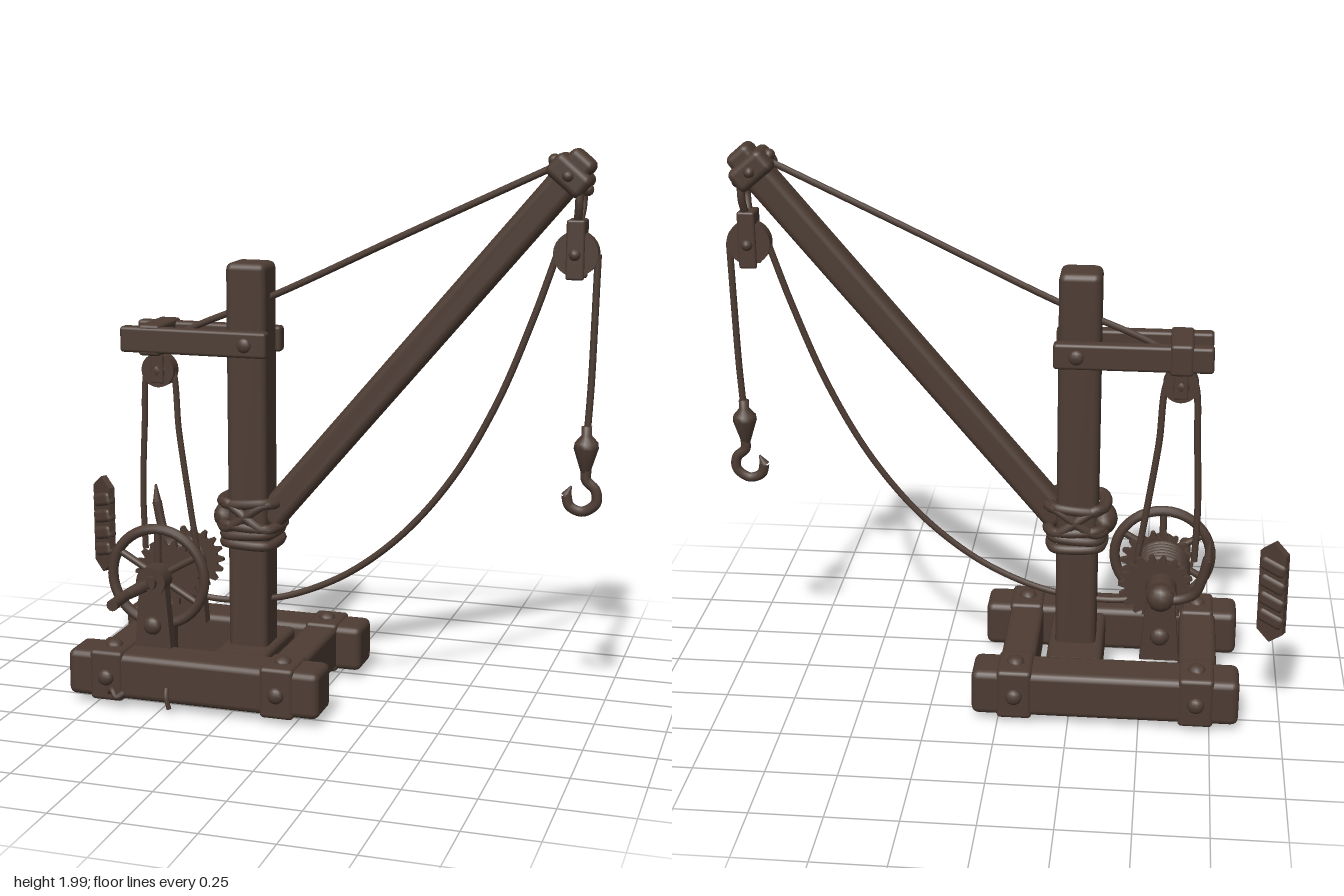
import * as THREE from 'three';
import { RoundedBoxGeometry } from 'three/addons/geometries/RoundedBoxGeometry.js';

const V = (x, y, z) => new THREE.Vector3(x, y, z);

export function createModel() {
  const root = new THREE.Group();
  root.name = 'woodenCrane';
  const wood = new THREE.MeshStandardMaterial({ color: 0x4d3c33 });
  wood.name = 'darkBrownWood';

  function add(name, geo, x = 0, y = 0, z = 0, parent = root) {
    const m = new THREE.Mesh(geo, wood);
    m.name = name;
    m.position.set(x, y, z);
    parent.add(m);
    return m;
  }
  // beam given by its minimum and maximum corners
  function beam(name, x0, x1, y0, y1, z0, z1, r = 0.02) {
    return add(name, new RoundedBoxGeometry(x1 - x0, y1 - y0, z1 - z0, 2, r),
      (x0 + x1) / 2, (y0 + y1) / 2, (z0 + z1) / 2);
  }
  function rod(name, a, b, r, r2 = r, sides = 12) {
    const m = add(name, new THREE.CylinderGeometry(r2, r, a.distanceTo(b), sides));
    m.position.copy(a).add(b).multiplyScalar(0.5);
    m.quaternion.setFromUnitVectors(V(0, 1, 0), b.clone().sub(a).normalize());
    return m;
  }
  function rope(name, pts, r = 0.011, closed = false) {
    const curve = new THREE.CatmullRomCurve3(pts.map(p => V(...p)), closed);
    return add(name, new THREE.TubeGeometry(curve, pts.length * 8, r, 8, closed));
  }
  function bolt(name, x, y, z, r = 0.03, sx = 1, sy = 1, sz = 1) {
    add(name, new THREE.SphereGeometry(r, 12, 8), x, y, z).scale.set(sx, sy, sz);
  }
  // disc whose axis runs along z
  function disc(name, x, y, z, r, depth, sides = 24) {
    return add(name, new THREE.CylinderGeometry(r, r, depth, sides).rotateX(Math.PI / 2), x, y, z);
  }

  // Base: two rails, two cross beams and the block under the post
  for (const s of [1, -1]) {
    const zc = s > 0 ? 0.258 : -0.272;
    beam('baseRail', -0.85, 0.092, 0.03, 0.198, zc - 0.08, zc + 0.08, 0.025);
    for (const x of [-0.7, -0.06]) {
      beam('railBand', x - 0.062, x + 0.062, 0.022, 0.207, zc - 0.085, zc + 0.085, 0.015);
      bolt('topBolt', x, 0.205, zc, 0.032, 1, 0.7, 1);
      bolt('bottomBolt', x, 0.022, zc, 0.032, 1, 0.65, 1);
      bolt('sideBolt', x, 0.11, zc + s * 0.085, 0.03, 1, 1, 0.7);
    }
  }
  beam('rearCrossBeam', -0.77, -0.635, 0.035, 0.195, -0.34, 0.33);
  beam('frontCrossBeam', -0.125, 0, 0.035, 0.195, -0.34, 0.33);
  beam('postFootBlock', -0.36, -0.16, 0.045, 0.185, -0.2, 0.19);

  // Post and the arm clamped to it
  beam('post', -0.332, -0.185, 0.1, 1.58, -0.073, 0.073, 0.025);
  for (const s of [1, -1]) {
    const z = s * 0.083;
    beam('armBeam', -0.72, -0.17, 1.25, 1.343, z - 0.025, z + 0.025, 0.012);
    bolt('armBolt', -0.25, 1.296, s * 0.107, 0.027, 1, 1, 0.6);
  }
  beam('armCrossPiece', -0.65, -0.57, 1.24, 1.352, -0.113, 0.105, 0.012);

  // Pulley under the arm
  disc('armPulley', -0.61, 1.175, 0, 0.062, 0.05);
  for (const z of [0.03, -0.03]) beam('pulleyCheek', -0.635, -0.585, 1.13, 1.26, z - 0.006, z + 0.006, 0.005);
  bolt('pulleyPin', -0.61, 1.175, 0, 0.04);

  // Boom with its capped head
  const boom = new THREE.Group();
  boom.name = 'boom';
  const a = V(-0.2, 0.645, 0), b = V(0.89, 1.935, 0);
  boom.position.copy(a).add(b).multiplyScalar(0.5);
  boom.rotation.z = Math.atan2(b.y - a.y, b.x - a.x);
  const len = a.distanceTo(b);
  root.add(boom);
  add('boomBeam', new RoundedBoxGeometry(len, 0.108, 0.098, 3, 0.028), 0, 0, 0, boom);
  add('boomHeadCap', new RoundedBoxGeometry(0.09, 0.15, 0.135, 2, 0.025), len / 2 - 0.04, 0, 0, boom);
  add('boomHeadTip', new RoundedBoxGeometry(0.07, 0.1, 0.1, 2, 0.025), len / 2 + 0.01, 0, 0, boom);
  for (const s of [1, -1]) {
    add('capBolt', new THREE.SphereGeometry(0.022, 10, 8), len / 2 - 0.04, s * 0.073, 0, boom);
    add('capSideBolt', new THREE.SphereGeometry(0.02, 10, 8), len / 2 - 0.04, 0, s * 0.063, boom);
  }

  // Lashing that ties the boom to the post
  const loop = (y, tilt, grow) => rope('lashingLoop', [
    [-0.345 - grow, y + tilt, 0.06], [-0.32, y + tilt, 0.09], [-0.19, y - tilt, 0.09], [-0.168 + grow, y - tilt, 0.06],
    [-0.168 + grow, y - tilt, -0.06], [-0.19, y - tilt, -0.09], [-0.32, y + tilt, -0.09], [-0.345 - grow, y + tilt, -0.06],
  ], 0.018, true);
  loop(0.57, 0.002, 0);
  loop(0.605, -0.004, 0);
  loop(0.635, 0.004, 0.005);
  loop(0.675, 0.045, 0.01);
  loop(0.675, -0.045, 0.01);
  loop(0.72, -0.005, 0);
  bolt('lashingKnot', -0.352, 0.655, 0, 0.05, 1, 1.1, 1.5);

  // Stay rope from the boom head to the arm
  rope('stayRope', [[0.86, 1.955, 0], [0.3, 1.69, 0], [-0.18, 1.46, 0], [-0.48, 1.335, 0], [-0.6, 1.27, 0]], 0.012);

  // Hanging block, fall rope, weight and hook
  rope('blockLink', [[0.9, 1.9, 0.035], [0.9, 1.8, 0.04], [0.89, 1.73, 0], [0.9, 1.8, -0.04], [0.9, 1.9, -0.035]], 0.014);
  disc('hangingPulley', 0.89, 1.645, 0, 0.076, 0.045);
  for (const z of [0.035, -0.035]) {
    beam('blockCheek', 0.86, 0.922, 1.56, 1.76, z - 0.009, z + 0.009, 0.008);
    bolt('blockPin', 0.89, 1.645, z * 1.25, 0.02);
  }
  beam('blockTop', 0.86, 0.922, 1.71, 1.76, -0.04, 0.04, 0.01);
  rope('fallRope', [[0.962, 1.645, 0], [0.957, 1.4, 0], [0.952, 1.2, 0], [0.944, 1.04, 0]], 0.012);
  add('hookWeight', new THREE.LatheGeometry([[0, 0.89], [0.016, 0.9], [0.043, 0.985], [0.04, 1.005], [0.018, 1.03], [0.018, 1.06], [0, 1.065]]
    .map(p => new THREE.Vector2(...p)), 10), 0.942, 0, 0);
  rope('hook', [[0.944, 0.91, 0], [0.945, 0.875, 0], [0.978, 0.84, 0], [0.98, 0.795, 0], [0.935, 0.763, 0],
    [0.89, 0.78, 0], [0.878, 0.82, 0]], 0.018);
  rod('hookPoint', V(0.878, 0.815, 0), V(0.895, 0.85, 0), 0.018, 0.003);

  // Slack rope from the hanging block down to the drum
  rope('slackRope', [[0.825, 1.64, 0], [0.75, 1.42, 0], [0.63, 1.12, 0], [0.48, 0.85, 0], [0.3, 0.63, 0],
    [0.1, 0.47, 0], [-0.1, 0.375, 0], [-0.25, 0.34, 0], [-0.4, 0.33, 0], [-0.54, 0.35, 0]], 0.012);
  // Ropes between the arm pulley and the drum
  rope('rearHoistRope', [[-0.61, 1.235, 0], [-0.655, 1.19, 0], [-0.675, 0.95, 0], [-0.685, 0.7, 0], [-0.68, 0.5, 0]], 0.012);
  rope('frontHoistRope', [[-0.61, 1.235, 0], [-0.565, 1.19, 0], [-0.54, 0.95, 0], [-0.505, 0.7, 0], [-0.475, 0.5, 0]], 0.012);

  // Winch: supports, axle, drum and toothed wheels
  const cx = -0.565, cy = 0.445;
  const bracket = new THREE.Shape();
  bracket.moveTo(-0.07, -0.26);
  bracket.lineTo(0.07, -0.26);
  bracket.lineTo(0.048, 0);
  bracket.absarc(0, 0, 0.048, 0, Math.PI, false);
  bracket.closePath();
  for (const z of [0.2, -0.15]) {
    add('winchSupport', new THREE.ExtrudeGeometry(bracket, { depth: 0.046, bevelEnabled: false, curveSegments: 12 }), cx, cy, z - 0.023);
    disc('supportBearing', cx, cy, z, 0.055, 0.075);
    bolt('supportBolt', cx, 0.28, z + Math.sign(z) * 0.025, 0.034, 1, 1, 0.7);
  }
  rod('axle', V(cx, cy, -0.23), V(cx, cy, 0.26), 0.026);
  disc('drum', cx, cy, 0, 0.085, 0.2);
  for (let i = 0; i < 6; i++) add('drumRopeTurn', new THREE.TorusGeometry(0.09, 0.013, 6, 24), cx, cy, -0.06 + i * 0.024);

  const gear = new THREE.Shape();
  const teeth = 18;
  for (let i = 0; i < teeth * 4; i++) {
    const r = i % 4 < 2 ? 0.122 : 0.1, t = (i / (teeth * 4)) * Math.PI * 2;
    gear[i ? 'lineTo' : 'moveTo'](r * Math.cos(t), r * Math.sin(t));
  }
  gear.closePath();
  for (const z of [0.095, -0.105]) {
    const g = add('toothedWheel', new THREE.ExtrudeGeometry(gear, { depth: 0.018, bevelEnabled: false }), cx + 0.02, cy, z - 0.009);
    g.scale.set(1.1, 1.0, 1);
  }

  // Hand wheel with spokes
  add('handWheelRim', new THREE.TorusGeometry(0.177, 0.019, 10, 40), cx, cy, 0.16);
  for (let i = 0; i < 6; i++) {
    const t = i * Math.PI / 3 + Math.PI / 6;
    rod('wheelSpoke', V(cx, cy, 0.16), V(cx + 0.175 * Math.cos(t), cy + 0.175 * Math.sin(t), 0.16), 0.013);
  }
  disc('wheelHub', cx, cy, 0.16, 0.042, 0.05);

  // Crank with its handle
  rod('crankArm', V(cx, cy, 0.245), V(-0.65, 0.395, 0.245), 0.024, 0.02);
  rod('crankHandle', V(-0.65, 0.395, 0.235), V(-0.65, 0.395, 0.385), 0.018, 0.021);

  // Curved brake lever behind the winch
  bolt('leverHub', cx, cy, -0.2, 0.05, 1, 1, 0.8);
  rope('brakeLever', [[cx, cy, -0.2], [-0.62, 0.44, -0.2], [-0.68, 0.47, -0.21], [-0.705, 0.53, -0.22], [-0.725, 0.62, -0.225]], 0.018);
  rod('leverTip', V(-0.724, 0.61, -0.225), V(-0.73, 0.685, -0.228), 0.018, 0.004);

  // Small iron hooks on the front rail
  rope('railHook', [[-0.69, 0.055, 0.335], [-0.67, 0.07, 0.355], [-0.65, 0.05, 0.365], [-0.63, 0.06, 0.35]], 0.011);
  rope('railPeg', [[-0.47, 0.09, 0.335], [-0.465, 0.06, 0.35], [-0.455, 0.02, 0.352]], 0.009);

  // Separate pointed board with twisted ridges
  const board = new THREE.Group();
  board.name = 'pointedBoard';
  board.position.set(-0.952, 0.51, -0.242);
  board.rotation.y = -Math.PI / 6;
  root.add(board);
  const outline = new THREE.Shape([[-0.05, -0.15], [0, -0.19], [0.05, -0.15], [0.05, 0.15], [0, 0.19], [-0.05, 0.15]]
    .map(p => new THREE.Vector2(...p)));
  add('boardCore', new THREE.ExtrudeGeometry(outline, { depth: 0.026, bevelEnabled: false }), 0, 0, -0.013, board);
  for (let i = 0; i < 4; i++) {
    const ridge = add('boardRidge', new RoundedBoxGeometry(0.104, 0.055, 0.044, 2, 0.018), 0, -0.1 + i * 0.066, 0, board);
    ridge.rotation.z = 0.25;
  }
  return root;
}
